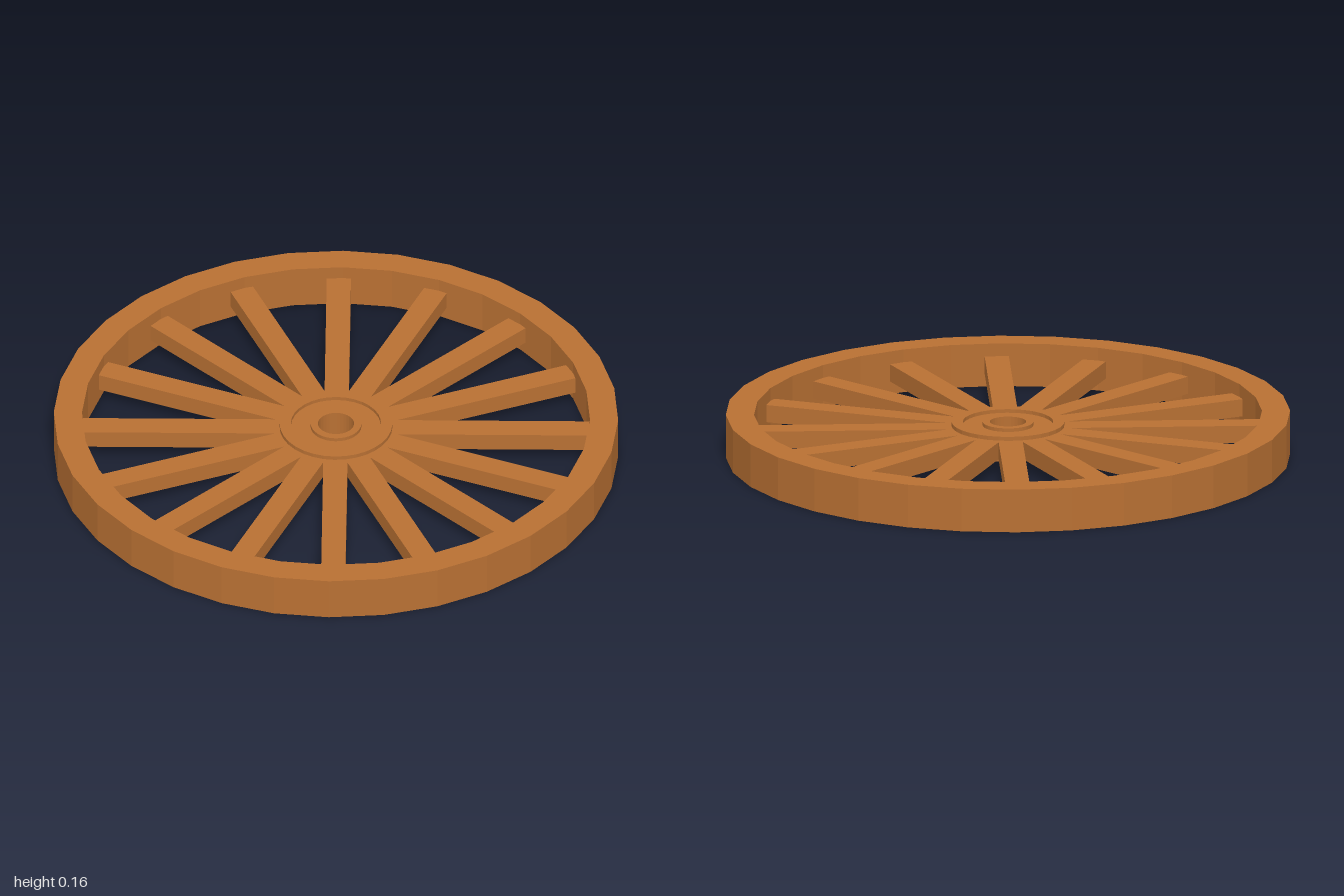
import * as THREE from 'three';

const HEIGHT = 0.157;
const MID = HEIGHT / 2;
const SIDES = 32;
const SPOKES = 16;

// Closed ring turned from a profile of [radius, y] points, listed anticlockwise
function turned(profile, sides, material, name) {
  const points = profile.map(([r, y]) => new THREE.Vector2(r, y));
  points.push(points[0].clone());
  const geometry = new THREE.LatheGeometry(points, sides).toNonIndexed();
  geometry.computeVertexNormals();
  const mesh = new THREE.Mesh(geometry, material);
  mesh.name = name;
  return mesh;
}

export function createModel() {
  const wheel = new THREE.Group();
  wheel.name = 'wagonWheel';

  const wood = new THREE.MeshStandardMaterial({ color: 0xb87033 });
  wood.name = 'brown wood';

  // Faceted outer rim
  wheel.add(turned([[0.9, 0], [1, 0], [1, HEIGHT], [0.9, HEIGHT]], SIDES, wood, 'rim'));

  // Hub with a raised edge, a shallow ring groove and a bored collar on both faces
  const half = 0.046, groove = 0.033;
  const upper = [[0.2, half], [0.16, half], [0.16, groove], [0.09, groove], [0.09, half], [0.064, half]];
  const lower = upper.map(([r, y]) => [r, -y]).reverse();
  const hub = turned([...lower, ...upper], SIDES, wood, 'hub');
  hub.position.y = MID;
  wheel.add(hub);

  // Spokes, running from inside the hub to the rim
  const inner = 0.18, outer = 0.9;
  const spokeGeometry = new THREE.BoxGeometry(outer - inner, 0.063, 0.086);
  spokeGeometry.translate((inner + outer) / 2, 0, 0);
  const spokes = new THREE.Group();
  spokes.name = 'spokes';
  spokes.position.y = MID;
  spokes.rotation.y = THREE.MathUtils.degToRad(0.8);
  for (let i = 0; i < SPOKES; i++) {
    const spoke = new THREE.Mesh(spokeGeometry, wood);
    spoke.name = 'spoke';
    spoke.rotation.y = (i / SPOKES) * Math.PI * 2;
    spokes.add(spoke);
  }
  wheel.add(spokes);

  return wheel;
}
